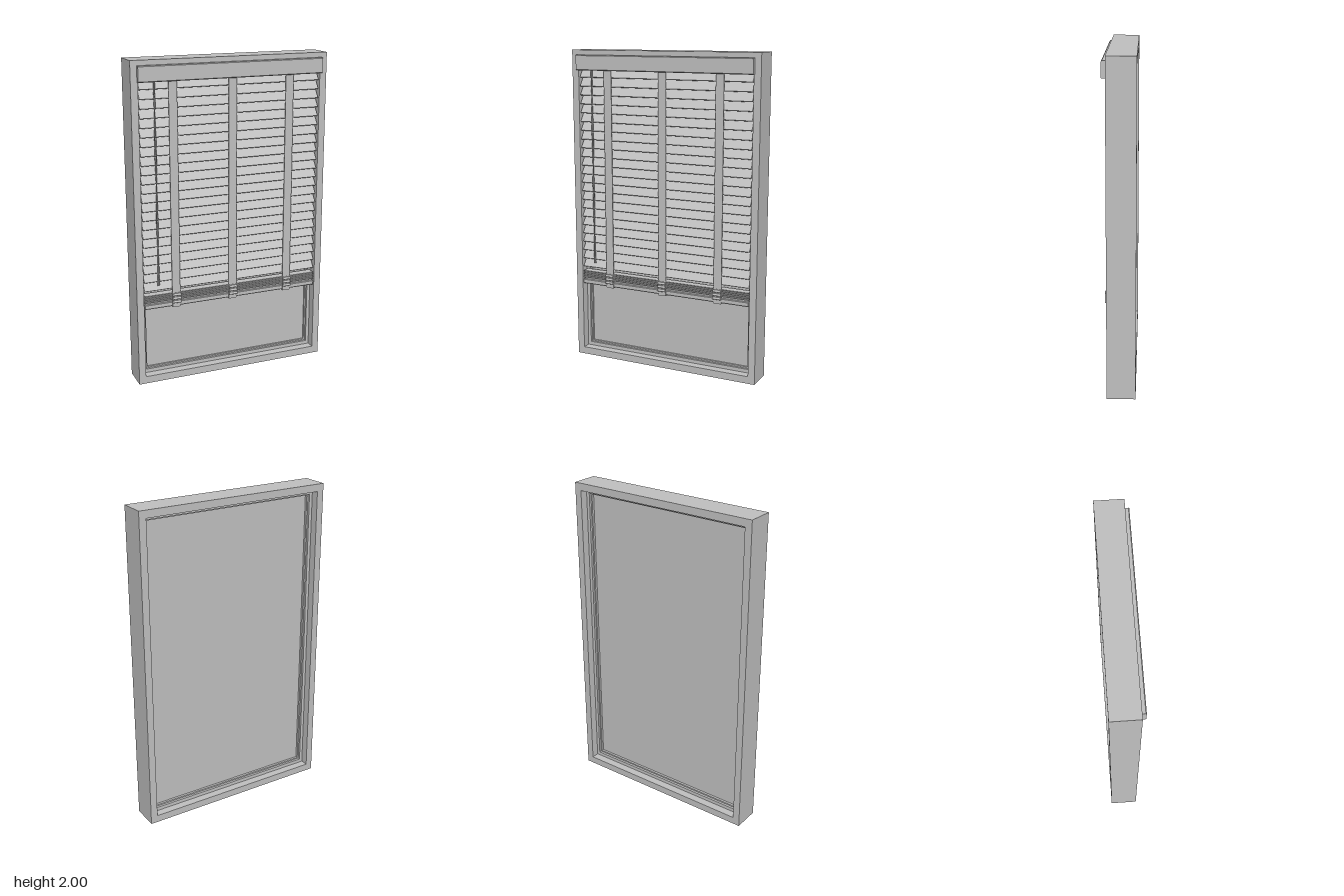
import * as THREE from 'three';

export function createModel() {
  const root = new THREE.Group();
  const grey = new THREE.MeshStandardMaterial({ color: 0xc0c0c0 });
  grey.name = 'paintedGrey';

  const add = (name, geometry, x = 0, y = 0, z = 0, parent = root) => {
    const mesh = new THREE.Mesh(geometry, grey);
    mesh.name = name;
    mesh.position.set(x, y, z);
    parent.add(mesh);
    return mesh;
  };
  const box = (name, w, h, d, x, y, z, parent) =>
    add(name, new THREE.BoxGeometry(w, h, d), x, y, z, parent);

  // Rectangular ring between two half sizes, from z0 to z1, centred at y = 1
  const ring = (name, ow, oh, iw, ih, z0, z1) => {
    const rect = (path, w, h) => path.moveTo(-w, -h).lineTo(w, -h).lineTo(w, h).lineTo(-w, h).closePath();
    const shape = new THREE.Shape();
    rect(shape, ow, oh);
    const hole = new THREE.Path();
    rect(hole, iw, ih);
    shape.holes.push(hole);
    const g = new THREE.ExtrudeGeometry(shape, { depth: z1 - z0, bevelEnabled: false });
    return add(name, g, 0, 1, z0);
  };

  // Window
  ring('outerFrame', 0.626, 1, 0.582, 0.954, -0.1, 0.07);
  ring('sash', 0.582, 0.954, 0.561, 0.931, -0.05, 0.015);
  ring('glazingBead', 0.561, 0.931, 0.552, 0.922, -0.035, 0.0);
  box('pane', 1.12, 1.86, 0.008, 0, 1, -0.016);

  // Profile in (z, y) extruded along x
  const bar = (name, points, width, y, z, parent = root) => {
    const shape = new THREE.Shape(points.map(([pz, py]) => new THREE.Vector2(-pz, py)));
    const g = new THREE.ExtrudeGeometry(shape, { depth: width, bevelEnabled: false });
    g.translate(0, 0, -width / 2).rotateY(Math.PI / 2);
    return add(name, g, 0, y, z, parent);
  };

  // Head rail and valance with softened front edges
  box('headRail', 1.15, 0.06, 0.05, 0, 1.915, 0.042);
  bar('valance', [[0.07, 1.875], [0.089, 1.875], [0.094, 1.88], [0.094, 1.965], [0.089, 1.97], [0.07, 1.97]], 1.174, 0, 0);

  // Tilted slats, front edge low
  const slats = new THREE.Group();
  slats.name = 'slats';
  root.add(slats);
  const pitch = 0.0557;
  for (let i = 0; i < 23; i++) {
    const slat = box('slat', 1.15, 0.007, 0.062, 0, 1.857 - i * pitch, 0.046, slats);
    slat.rotation.x = 0.95;
  }

  // Gathered slats and bottom rail
  for (let i = 0; i < 5; i++) {
    box('stackedSlat', 1.15, 0.006, 0.052, 0, 0.533 + i * 0.0105, 0.042, slats);
  }
  box('stackCore', 1.14, 0.06, 0.034, 0, 0.548, 0.042, slats);
  bar('bottomRail', [[0.016, 0.49], [0.066, 0.49], [0.069, 0.494], [0.069, 0.516], [0.066, 0.52], [0.016, 0.52]], 1.15, 0, 0);

  // Ladder tapes with a buckle at the foot of each
  for (const x of [-0.375, 0, 0.375]) {
    box('ladderTape', 0.052, 1.3, 0.004, x, 1.225, 0.071);
    const clip = new THREE.Group();
    clip.name = 'tapeClip';
    clip.position.x = x;
    root.add(clip);
    box('clipPlate', 0.05, 0.09, 0.006, 0, 0.532, 0.073, clip);
    box('clipFoot', 0.05, 0.006, 0.056, 0, 0.487, 0.046, clip);
    for (const y of [0.52, 0.543, 0.566]) {
      const roll = add('clipRoll', new THREE.CylinderGeometry(0.008, 0.008, 0.054, 10), 0, y, 0.08, clip);
      roll.rotation.z = Math.PI / 2;
    }
    for (const s of [-1, 1]) box('clipCheek', 0.005, 0.06, 0.015, s * 0.025, 0.543, 0.079, clip);
  }

  // Pull cords, crossing as they hang, with small tassels
  for (const s of [-1, 1]) {
    const points = [];
    for (let i = 0; i <= 10; i++) {
      const t = i / 10;
      points.push(new THREE.Vector3(-0.487 + s * 0.004 * Math.cos(t * Math.PI * 3), 1.88 - t * 1.2, 0.072));
    }
    add('pullCord', new THREE.TubeGeometry(new THREE.CatmullRomCurve3(points), 60, 0.0028, 6));
    add('cordTassel', new THREE.CylinderGeometry(0.003, 0.005, 0.04, 8), -0.487 + s * 0.004, 0.66, 0.072);
  }

  return root;
}
